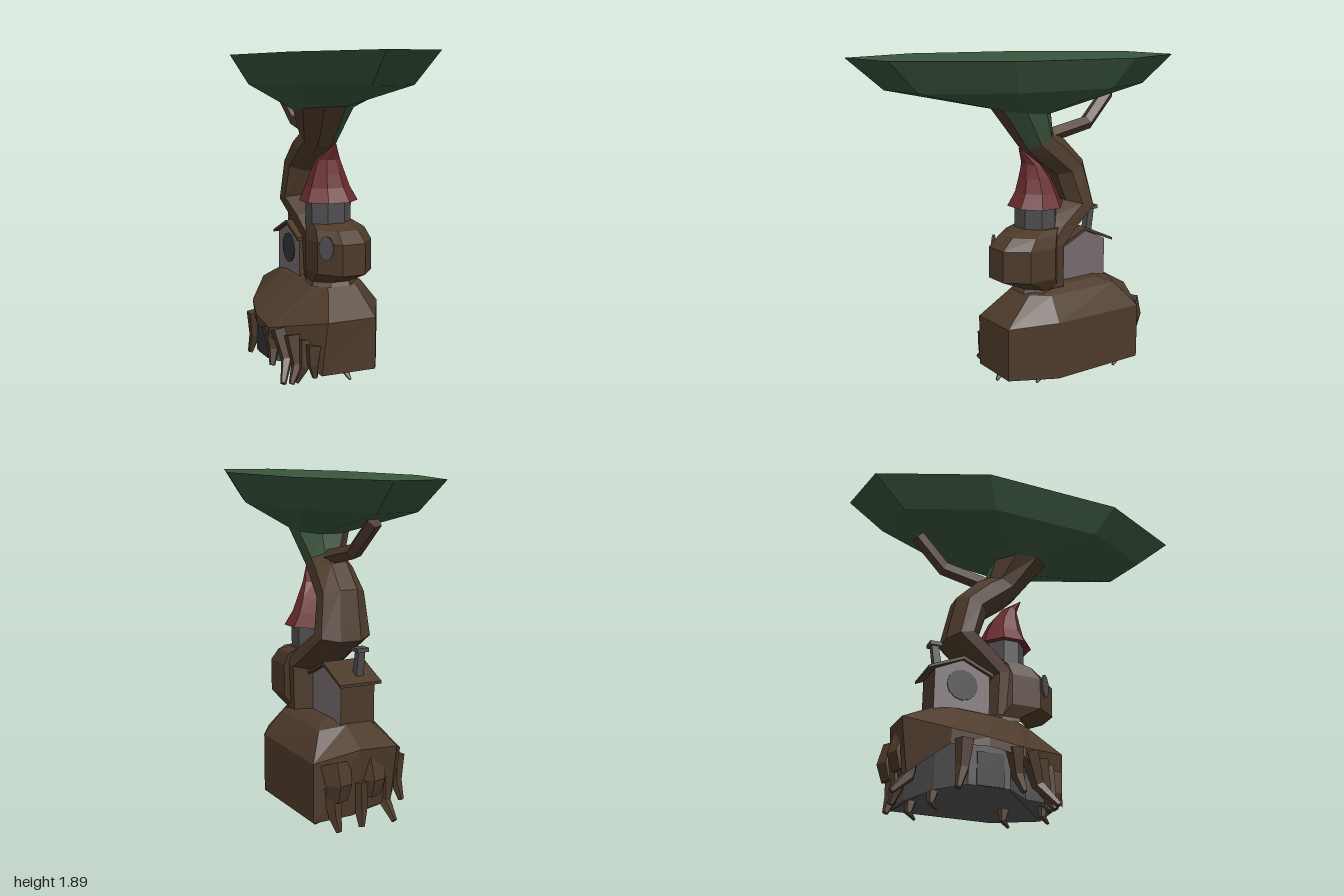
import * as THREE from 'three';

const mat = (name, color, side = THREE.FrontSide) =>
  Object.assign(new THREE.MeshStandardMaterial({ color, flatShading: true, side }), { name });

// Eight-sided ring spanning a front edge and a back edge ([z, y]) and an x range
function ring(f, b, x0, x1) {
  const pts = [];
  for (let i = 0; i < 8; i++) {
    const a = (i + 0.5) * Math.PI / 4, c = Math.cos(a) / 0.924, s = Math.sin(a) / 0.924;
    pts.push([
      (x0 + x1) / 2 + c * (x1 - x0) / 2,
      (f[1] + b[1]) / 2 - s * (f[1] - b[1]) / 2,
      (f[0] + b[0]) / 2 - s * (f[0] - b[0]) / 2,
    ]);
  }
  return pts;
}
const flat = (y, zf, zb, x0, x1) => ring([zf, y], [zb, y], x0, x1);

// Skin a stack of rings; keep chooses which sides are made
function loft(rings, { top = false, bottom = false, keep = () => true } = {}) {
  const v = [], n = rings[0].length;
  for (let r = 0; r + 1 < rings.length; r++) {
    for (let i = 0; i < n; i++) {
      if (!keep(i)) continue;
      const j = (i + 1) % n, a = rings[r][i], b = rings[r][j], c = rings[r + 1][j], d = rings[r + 1][i];
      v.push(...a, ...b, ...c, ...a, ...c, ...d);
    }
  }
  const cap = (p, flip) => {
    const m = [0, 1, 2].map(k => p.reduce((s, q) => s + q[k], 0) / n);
    p.forEach((q, i) => {
      const w = p[(i + 1) % n];
      v.push(...m, ...(flip ? w : q), ...(flip ? q : w));
    });
  };
  if (top) cap(rings[rings.length - 1], false);
  if (bottom) cap(rings[0], true);
  const g = new THREE.BufferGeometry();
  g.setAttribute('position', new THREE.Float32BufferAttribute(v, 3));
  g.computeVertexNormals();
  return g;
}

// Tapered limb through points, five sided
function limb(points, r0, r1) {
  const p = points.map(q => new THREE.Vector3(...q));
  const rings = p.map((c, k) => {
    const t = p[Math.min(k + 1, p.length - 1)].clone().sub(p[Math.max(k - 1, 0)]).normalize();
    const u = new THREE.Vector3(1, 0, 0).addScaledVector(t, -t.x).normalize();
    const w = t.clone().cross(u), r = r0 + (r1 - r0) * k / (p.length - 1);
    return Array.from({ length: 5 }, (_, i) => {
      const a = i * Math.PI * 0.4;
      return c.clone().addScaledVector(u, r * Math.cos(a)).addScaledVector(w, r * Math.sin(a)).toArray();
    });
  });
  return loft(rings, { top: true, bottom: true });
}

// Outline in (-z, y) pushed along x
function alongX(outline, x0, x1) {
  const shape = new THREE.Shape(outline.map(p => new THREE.Vector2(...p)));
  return new THREE.ExtrudeGeometry(shape, { depth: x1 - x0, bevelEnabled: false })
    .rotateY(Math.PI / 2).translate(x0, 0, 0);
}

export function createModel() {
  const bark = mat('bark', 0x4d3a2b), leaf = mat('leaf', 0x3a553c), red = mat('roof red', 0x6a2b2e);
  const stone = mat('stone', 0x504e50), stoneWall = mat('stone wall', 0x504e50, THREE.DoubleSide);
  const plaster = mat('plaster', 0x766b6e), dark = mat('dark glass', 0x333436);
  const model = new THREE.Group();
  const add = (name, geo, material) => {
    const m = new THREE.Mesh(geo, material);
    m.name = name;
    model.add(m);
    return m;
  };

  // Root mound: columns of bottom, middle and shoulder points
  const columns = [
    [[-.11, .08, .23], [-.08, .39, .25], [0, .55, .08]],
    [[.22, .085, .25], [.22, .39, .25], [.18, .55, .08]],
    [[.36, .09, 0], [.36, .42, 0], [.26, .55, -.02]],
    [[.35, .09, -.59], [.35, .41, -.59], [.26, .55, -.48]],
    [[.14, .11, -.63], [.12, .48, -.68], [.12, .57, -.52]],
    [[-.09, .17, -.64], [-.10, .47, -.68], [-.04, .57, -.5]],
    [[-.25, .30, -.46], [-.26, .38, -.46], [-.10, .56, -.4]],
    [[-.31, .29, -.27], [-.31, .34, -.27], [-.08, .56, -.2]],
    [[-.31, .26, -.07], [-.31, .31, -.07], [-.05, .56, -.01]],
  ];
  const layers = [0, 1, 2].map(k => columns.map(c => c[k]));
  layers.push(layers[2].map(([x, , z]) => [.08 + (x - .08) * .7, .585, -.22 + (z + .22) * .7]));
  add('mound', loft(layers, { top: true }), bark);

  // Stone hollow under the mound, vaulted from below
  const hollow = [[-.11, .22], [.22, .25], [.36, 0], [.35, -.59], [.14, -.58],
    [-.12, -.5], [-.27, -.37], [-.27, -.14], [-.14, 0]];
  const level = (y, s = 1) => hollow.map(([x, z]) => [.05 + (x - .05) * s, y, -.18 + (z + .18) * s]);
  add('hollowVault', loft([level(.3, .15), level(.088)], { bottom: true }), stone);
  add('hollowWall', loft([level(.088), level(.34)], { keep: i => i > 2 }), stoneWall);
  const door = add('hollowDoor', new THREE.BoxGeometry(.006, .18, .15), dark);
  door.position.set(-.273, .18, -.25);

  // Hanging roots
  [
    [[-.26, .31, -.03], [-.24, .14, .03], [-.30, .03, .12]],
    [[-.21, .29, .05], [-.20, .12, .09], [-.25, .02, .12]],
    [[-.15, .27, .11], [-.17, .12, .13], [-.21, .02, .10]],
    [[-.13, .25, .17], [-.14, .14, .18], [-.13, .06, .18]],
    [[-.28, .31, -.12], [-.27, .17, -.10], [-.29, .08, -.07]],
    [[-.27, .32, -.39], [-.27, .17, -.40], [-.29, .06, -.43]],
    [[-.06, .3, -.61], [-.06, .16, -.62], [-.07, .07, -.71]],
    [[.10, .3, -.63], [.09, .14, -.63], [.1, .05, -.66]],
    [[.25, .28, -.6], [.24, .12, -.62], [.23, .04, -.65]],
  ].forEach(p => add('root', limb(p, .055, .017), bark));
  [[.07, .2], [.23, .03], [.05, -.45], [.28, -.5]].forEach(([x, z]) =>
    add('rootTip', limb([[x, .13, z], [x - .01, .07, z - .01], [x, .035, z + .03]], .035, .008), bark));
  // Knotted back bulges
  [[.23, .3], [.03, .3]].forEach(([x, y]) =>
    add('backKnot', limb([[x, y + .1, -.60], [x, y, -.64], [x, y - .08, -.62]], .085, .06), bark));

  // Front bulge of the trunk
  add('trunkBulge', loft([
    flat(.55, .09, -.19, -.07, .22), flat(.575, .075, -.17, -.06, .215), flat(.645, .24, -.17, -.085, .255),
    flat(.825, .24, -.17, -.085, .255), flat(.89, .17, -.17, -.07, .235), flat(.92, .05, -.17, -.06, .2),
  ], { top: true }), bark);
  const porthole = add('trunkWindow', new THREE.CylinderGeometry(.07, .07, .008, 12).rotateX(Math.PI / 2), stone);
  porthole.position.set(-.053, .80, .165);
  porthole.rotation.y = -Math.atan2(.113, .102);
  porthole.scale.x = .65;

  // Curving trunk and flared neck
  const bend = ring([0, 1.36], [-.17, 1.45], -.09, .12);
  const neckTop = ring([.17, 1.59], [-.15, 1.555], -.155, .16);
  add('trunk', loft([
    ring([0, .58], [-.18, .58], -.06, .23), ring([0, .86], [-.175, .81], -.075, .235),
    ring([-.11, .97], [-.27, .875], -.09, .21), ring([-.235, 1.05], [-.43, 1.0], -.11, .19),
    ring([-.19, 1.2], [-.375, 1.27], -.10, .15), ring([-.06, 1.30], [-.25, 1.40], -.10, .13), bend,
  ]), bark);
  const leafy = i => i < 2 || i > 5;
  add('neckBark', loft([bend, neckTop], { keep: i => !leafy(i) }), bark);
  add('neckLeaf', loft([bend, neckTop], { keep: leafy }), leaf);
  add('branch', limb([[.03, 1.42, -.13], [.03, 1.48, -.44], [.01, 1.645, -.61]], .045, .042), bark);

  // Flat-topped canopy
  const crown = [[.14, -1], [-.2, -.94], [-.43, -.33], [-.4, .48], [-.14, 1], [.2, .93], [.425, .33], [.4, -.48]];
  add('canopy', loft([
    crown.map((_, i) => neckTop[(i + 1) % 8]),
    crown.map(([x, z]) => [x * .8, 1.71 + .015 * z, z * .8]),
    crown.map(([x, z]) => [x, 1.878 + .02 * z, z]),
  ], { top: true }), leaf);

  // Turret with a crooked pointed roof
  add('turret', loft([flat(.9, .06, -.16, -.065, .185), flat(1.06, .06, -.16, -.065, .185)]), stone);
  add('turretRoof', loft([
    flat(1.04, .10, -.19, -.10, .22), flat(1.12, .055, -.165, -.065, .18), flat(1.2, .035, -.13, -.045, .15),
    ring([.02, 1.28], [-.07, 1.28], -.02, .115), ring([.06, 1.375], [.05, 1.37], .045, .06),
  ], { top: true, bottom: true }), red);

  // Small house with gables on both ends
  add('house', alongX([[.18, .55], [.5, .55], [.5, .79], [.34, .865], [.18, .79]], -.065, .14), [plaster, bark]);
  add('houseRoof', alongX([[.165, .785], [.34, .865], [.54, .78], [.54, .795], [.34, .885], [.165, .805]], -.085, .165), bark);
  const round = add('houseWindow', new THREE.CylinderGeometry(.09, .09, .006, 12).rotateZ(Math.PI / 2), dark);
  round.position.set(-.067, .715, -.34);

  // Leaning chimney
  const chimney = add('chimney', new THREE.CylinderGeometry(.028, .032, .18, 4, 1).rotateY(Math.PI / 4), stone);
  chimney.position.set(.015, .87, -.47);
  chimney.rotation.x = -.16;
  const cap = add('chimneyCap', new THREE.BoxGeometry(.07, .022, .07), stone);
  cap.position.set(.015, .965, -.483);
  return model;
}
